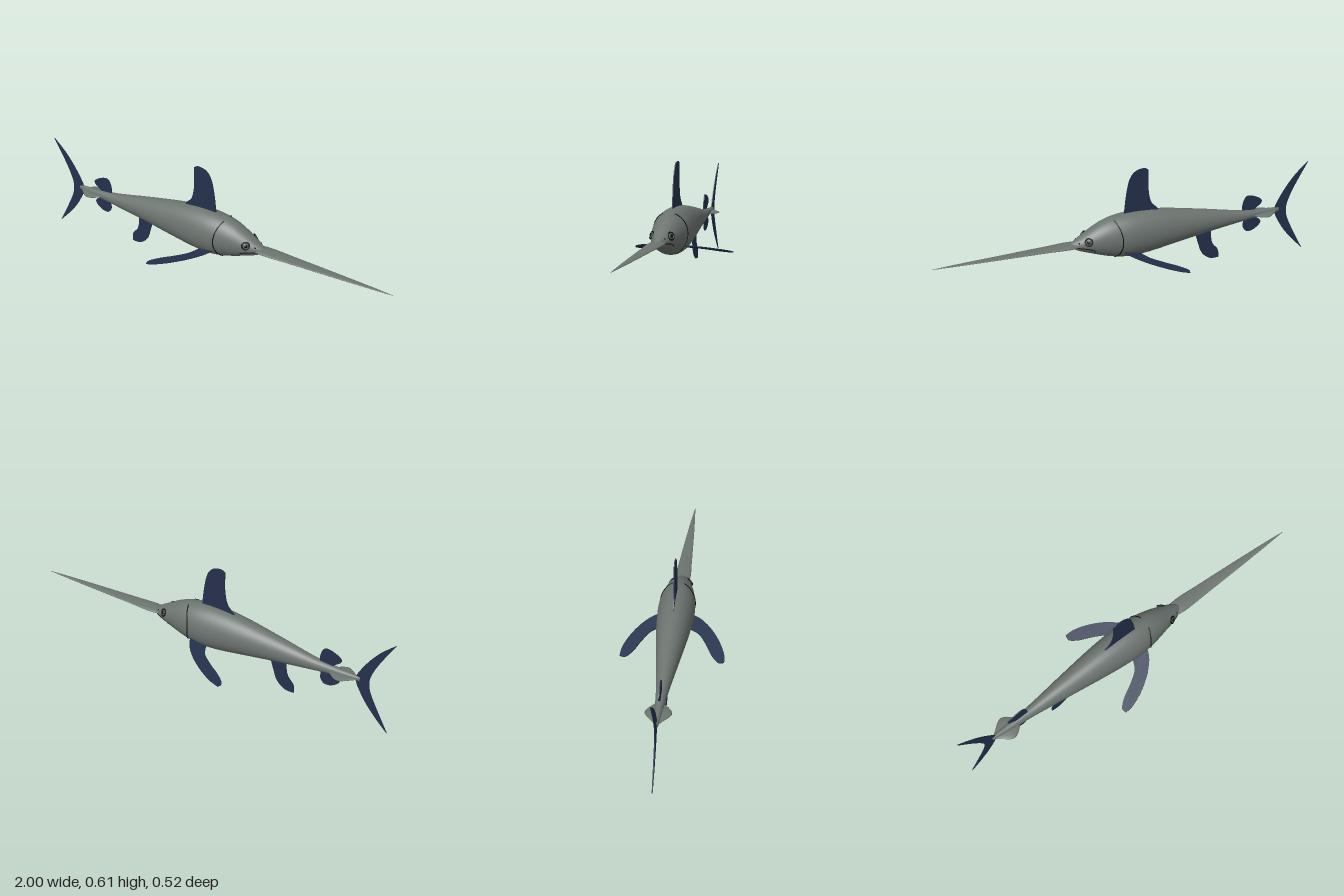
import * as THREE from 'three';

const mat = (name, color, side = THREE.FrontSide) => {
  const m = new THREE.MeshStandardMaterial({ color, side });
  m.name = name;
  return m;
};

// Stations: x, centre height, half height, half width
const BODY = [
  [-0.84, 0.257, 0.012, 0.010], [-0.72, 0.257, 0.021, 0.020], [-0.6, 0.257, 0.034, 0.030],
  [-0.4, 0.266, 0.066, 0.055], [-0.2, 0.271, 0.099, 0.079], [-0.08, 0.270, 0.114, 0.089],
  [0.02, 0.269, 0.116, 0.092], [0.1, 0.270, 0.104, 0.083], [0.16, 0.269, 0.085, 0.071],
  [0.22, 0.264, 0.058, 0.055], [0.27, 0.259, 0.034, 0.038], [0.3, 0.258, 0.018, 0.020],
  [0.318, 0.258, 0.004, 0.004],
];
const BILL = [
  [0.25, 0.257, 0.008, 0.030], [0.32, 0.258, 0.011, 0.040], [0.45, 0.259, 0.007, 0.034],
  [0.7, 0.260, 0.005, 0.021], [0.9, 0.261, 0.003, 0.009], [1.0, 0.261, 0.001, 0.001],
];

// Smooth interpolation of the stations at any x
function sectionAt(st, x) {
  let i = 0;
  while (i < st.length - 2 && x > st[i + 1][0]) i++;
  const a = st[i], b = st[i + 1], p = st[Math.max(i - 1, 0)], n = st[Math.min(i + 2, st.length - 1)];
  const h = b[0] - a[0], t = (x - a[0]) / h;
  return [1, 2, 3].map((k) => {
    const ma = ((b[k] - p[k]) / (b[0] - p[0])) * h;
    const mb = ((n[k] - a[k]) / (n[0] - a[0])) * h;
    return (2 * t ** 3 - 3 * t * t + 1) * a[k] + (t ** 3 - 2 * t * t + t) * ma
      + (3 * t * t - 2 * t ** 3) * b[k] + (t ** 3 - t * t) * mb;
  });
}

// Point on the surface; angle 0 is the top, PI/2 is the +z side
function surfacePoint(st, x, angle, grow = 0) {
  const [y, hy, hz] = sectionAt(st, x);
  return new THREE.Vector3(x, y + Math.cos(angle) * (hy + grow), Math.sin(angle) * (hz + grow));
}

function loft(st, rings, sides) {
  const pos = [], idx = [];
  const x0 = st[0][0], x1 = st[st.length - 1][0];
  for (let i = 0; i <= rings; i++) {
    const x = x0 + ((x1 - x0) * i) / rings;
    for (let j = 0; j < sides; j++) pos.push(...surfacePoint(st, x, (j / sides) * Math.PI * 2).toArray());
  }
  for (let i = 0; i < rings; i++) {
    for (let j = 0; j < sides; j++) {
      const a = i * sides + j, b = i * sides + ((j + 1) % sides);
      idx.push(a, b, a + sides, b, b + sides, a + sides);
    }
  }
  // Close both ends
  for (const [ring, x] of [[0, x0], [rings, x1]]) {
    const c = pos.length / 3;
    pos.push(x, sectionAt(st, x)[0], 0);
    for (let j = 0; j < sides; j++) {
      const a = ring * sides + j, b = ring * sides + ((j + 1) % sides);
      idx.push(...(ring ? [c, a, b] : [c, b, a]));
    }
  }
  const g = new THREE.BufferGeometry();
  g.setAttribute('position', new THREE.Float32BufferAttribute(pos, 3));
  g.setIndex(idx);
  g.computeVertexNormals();
  return g;
}

// Thin plate whose outline is made of smooth runs meeting at sharp corners
function finPlate(runs, depth = 0.005) {
  const s = new THREE.Shape();
  s.moveTo(...runs[0][0]);
  for (const run of runs) s.splineThru(run.slice(1).map((p) => new THREE.Vector2(...p)));
  s.closePath();
  const g = new THREE.ExtrudeGeometry(s, { depth, bevelEnabled: false, curveSegments: 16 });
  return g.translate(0, 0, -depth / 2);
}

export function createModel() {
  const group = new THREE.Group();
  const skin = mat('grey skin', 0x6c7470);
  const navy = mat('navy fin', 0x25304c, THREE.DoubleSide);
  const black = mat('black', 0x0c0d0e);
  const iris = mat('eye grey', 0x59625f);

  const add = (name, geometry, material) => {
    const m = new THREE.Mesh(geometry, material);
    m.name = name;
    group.add(m);
    return m;
  };
  const line = (name, points, r) =>
    add(name, new THREE.TubeGeometry(new THREE.CatmullRomCurve3(points), 32, r, 6), black);

  add('body', loft(BODY, 90, 40), skin);
  add('bill', loft(BILL, 50, 24), skin);

  // Upright fins on the centre line
  add('dorsalFin', finPlate([
    [[-0.16, 0.36], [-0.15, 0.385], [-0.115, 0.425], [-0.1, 0.5], [-0.1, 0.6]],
    [[-0.1, 0.6], [-0.075, 0.611], [-0.03, 0.6], [0, 0.56], [0.018, 0.48], [0.032, 0.36]],
  ]), navy);
  add('secondDorsalFin', finPlate([
    [[-0.69, 0.26], [-0.705, 0.285], [-0.735, 0.31], [-0.738, 0.33], [-0.705, 0.352], [-0.66, 0.364],
      [-0.638, 0.345], [-0.628, 0.3], [-0.635, 0.26]],
  ]), navy);
  add('rearAnalFin', finPlate([
    [[-0.69, 0.26], [-0.705, 0.238], [-0.735, 0.215], [-0.732, 0.19], [-0.695, 0.164], [-0.658, 0.162],
      [-0.638, 0.188], [-0.638, 0.225], [-0.64, 0.26]],
  ]), navy);
  add('analFin', finPlate([
    [[-0.46, 0.24], [-0.452, 0.19], [-0.462, 0.13], [-0.495, 0.085], [-0.5, 0.04]],
    [[-0.5, 0.04], [-0.45, 0.043], [-0.405, 0.08], [-0.382, 0.14], [-0.355, 0.23]],
  ]), navy);

  // Crescent tail
  add('tailFin', finPlate([
    [[-0.82, 0.256], [-0.828, 0.29], [-0.875, 0.37], [-0.93, 0.44], [-1, 0.505]],
    [[-1, 0.505], [-0.93, 0.38], [-0.895, 0.3], [-0.887, 0.253], [-0.895, 0.205], [-0.93, 0.13], [-1, 0]],
    [[-1, 0], [-0.93, 0.072], [-0.875, 0.14], [-0.828, 0.22], [-0.82, 0.256]],
  ]), navy);

  // Flat diamond keels beside the tail stalk
  add('tailKeels', loft([
    [-0.825, 0.254, 0.004, 0.012], [-0.75, 0.252, 0.008, 0.062], [-0.675, 0.252, 0.004, 0.012],
  ], 16, 16), skin);

  for (const side of [1, -1]) {
    const label = side > 0 ? 'right' : 'left';

    // Swept pectoral fin lying on a sloping plane
    const fin = finPlate([
      [[0.06, 0.06], [0.045, 0.098], [0.02, 0.135], [-0.03, 0.182], [-0.1, 0.226], [-0.17, 0.254], [-0.22, 0.259]],
      [[-0.22, 0.259], [-0.222, 0.228], [-0.18, 0.192], [-0.12, 0.16], [-0.06, 0.118], [-0.03, 0.06]],
    ], 0.005);
    fin.rotateX((side * Math.PI) / 2);
    const p = fin.attributes.position;
    for (let i = 0; i < p.count; i++) p.setY(i, p.getY(i) + 0.192 + 0.27 * p.getX(i));
    fin.computeVertexNormals();
    add(label + 'PectoralFin', fin, navy);

    // Gill slit curving around the head
    const gill = [];
    for (let i = 0; i <= 14; i++) {
      const a = 0.35 + (i / 14) * 2.4;
      gill.push(surfacePoint(BODY, 0.066 + 0.03 * Math.cos(a) ** 2, side * a, 0.0005));
    }
    line(label + 'GillSlit', gill, 0.003);

    // Mouth line
    const mouth = [];
    for (let i = 0; i <= 8; i++) {
      const t = i / 8;
      mouth.push(surfacePoint(BODY, 0.2 + 0.095 * t, side * (1.97 - 0.25 * t + 0.15 * (1 - t) ** 4), 0.0005));
    }
    line(label + 'Mouth', mouth, 0.0025);

    // Eye: dark rim, iris and pupil, facing out along the head surface
    const eye = new THREE.Group();
    eye.name = label + 'Eye';
    const at = surfacePoint(BODY, 0.232, side * 1.16, 0);
    eye.position.copy(at);
    eye.lookAt(at.clone().add(new THREE.Vector3(0.55, 0.35, side * 0.8)));
    const parts = [
      ['eyeRim', new THREE.TorusGeometry(0.018, 0.004, 8, 28), black, 1, 0.001],
      ['eyeBall', new THREE.SphereGeometry(0.017, 24, 14), iris, 0.4, 0],
      ['pupil', new THREE.SphereGeometry(0.01, 20, 12), black, 0.4, 0.004],
    ];
    for (const [name, g, m, flat, z] of parts) {
      const mesh = new THREE.Mesh(g, m);
      mesh.name = name;
      mesh.scale.z = flat;
      mesh.position.z = z;
      eye.add(mesh);
    }
    group.add(eye);

    // Nostril
    const nostril = add(label + 'Nostril', new THREE.SphereGeometry(0.004, 10, 8), black);
    nostril.position.copy(surfacePoint(BODY, 0.275, side * 0.95, -0.001));
  }
  return group;
}
